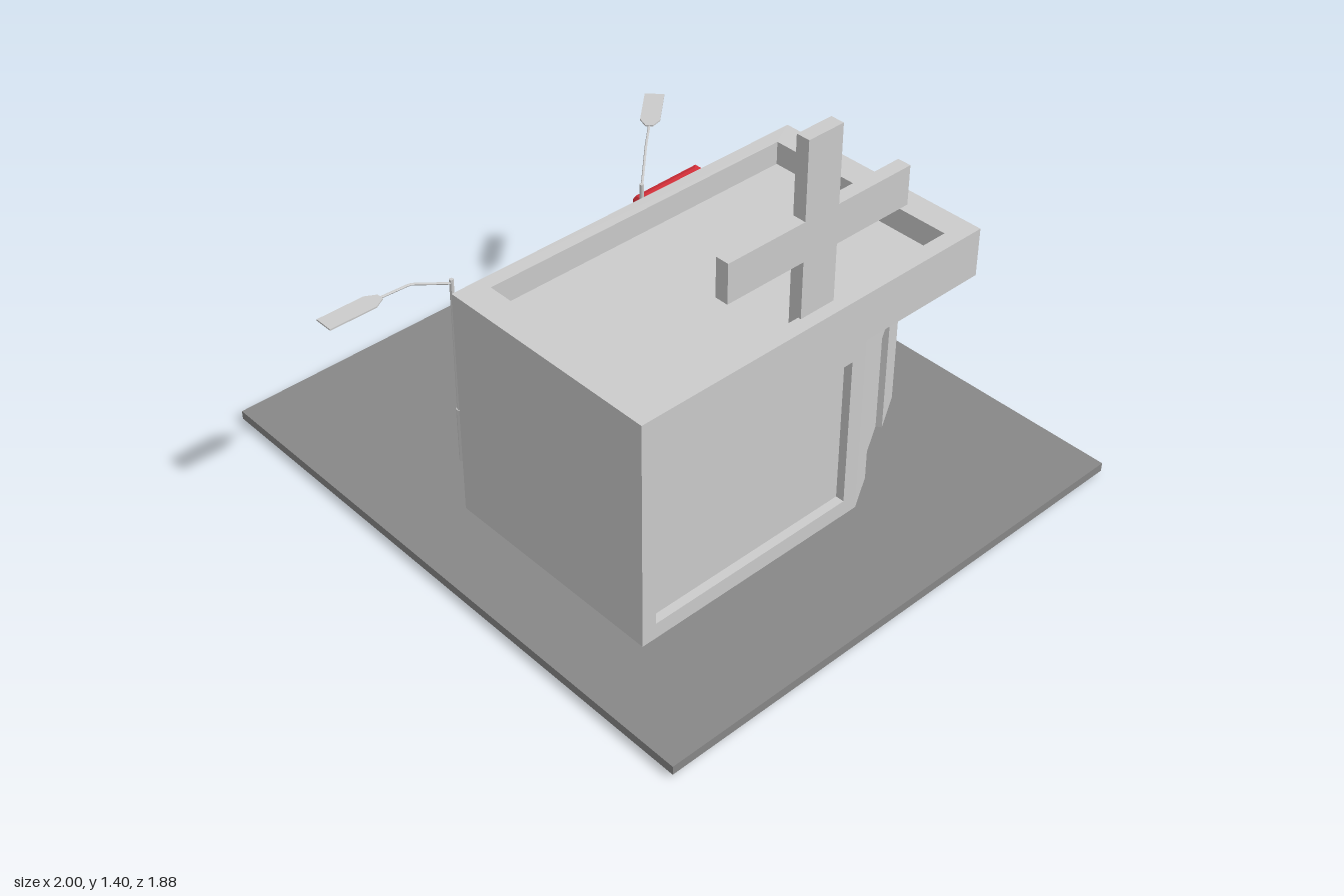
import * as THREE from 'three';

const paint = (color) => new THREE.MeshStandardMaterial({ color, flatShading: true, side: THREE.DoubleSide });
const grey = paint(0xcccccc), asphalt = paint(0x888888), green = paint(0x2a552a);
const red = paint(0xd8303a), black = paint(0x111111);

function add(parent, name, geometry, material = grey) {
  const mesh = new THREE.Mesh(geometry, material);
  mesh.name = name;
  parent.add(mesh);
  return mesh;
}

function group(parent, name, x = 0, y = 0, z = 0, turn = 0) {
  const g = new THREE.Group();
  g.name = name;
  g.position.set(x, y, z);
  g.rotation.y = turn;
  parent.add(g);
  return g;
}

// Box given by its limits on each axis
function box(parent, name, [x0, x1], [y0, y1], [z0, z1], material) {
  const mesh = add(parent, name, new THREE.BoxGeometry(x1 - x0, y1 - y0, z1 - z0), material);
  mesh.position.set((x0 + x1) / 2, (y0 + y1) / 2, (z0 + z1) / 2);
  return mesh;
}

const polygon = (points) => new THREE.Shape(points.map(([x, y]) => new THREE.Vector2(x, y)));
const rect = (x0, x1, y0, y1) => polygon([[x0, y0], [x1, y0], [x1, y1], [x0, y1]]);
const extrude = (shape, depth) => new THREE.ExtrudeGeometry(shape, { depth, bevelEnabled: false });

// Upright slab facing +z with an optional opening closed by a recessed pane
function panel(parent, name, outline, opening, thickness, recess, material, paneMaterial) {
  const shape = rect(...outline);
  if (opening) {
    shape.holes.push(rect(...opening));
    const [x0, x1, y0, y1] = opening;
    const pane = add(parent, name + 'Pane', new THREE.PlaneGeometry(x1 - x0, y1 - y0), paneMaterial);
    pane.position.set((x0 + x1) / 2, (y0 + y1) / 2, -recess);
  }
  add(parent, name, extrude(shape, thickness).translate(0, 0, -thickness), material);
}

function addShop(model) {
  const shop = group(model, 'shop');
  // Walls run round the plan, with the entrance across the cut corner
  const plan = [[-0.16, 0.625], [0.625, 0.625], [0.625, -0.235], [0.345, -0.705], [-0.16, -0.705]];
  const names = ['frontWall', 'windowWall', 'entranceWall', 'backWall', 'sideWall'];
  const openings = [null, [0.05, 0.805, 0.095, 0.615], [0.14, 0.39, 0.03, 0.48], [0.05, 0.455, 0.095, 0.615], null];
  plan.forEach(([x, z], i) => {
    const [nx, nz] = plan[(i + 1) % plan.length];
    const wall = group(shop, names[i], x, 0, z, Math.atan2(z - nz, nx - x));
    const recess = i === 2 ? 0.02 : 0.03;
    panel(wall, names[i] + 'Panel', [0, Math.hypot(nx - x, nz - z), 0.02, 0.665], openings[i], 0.035, recess, grey, grey);
  });
  // Roof slab overhangs the entrance; parapet stands on top
  box(shop, 'roofSlab', [-0.16, 0.625], [0.665, 0.75], [-0.705, 0.625]);
  const rim = rect(-0.16, 0.625, -0.625, 0.705);
  rim.holes.push(rect(-0.11, 0.57, -0.525, 0.61));
  add(shop, 'parapet', extrude(rim, 0.08).rotateX(-Math.PI / 2).translate(0, 0.75, 0));

  // Cross sign
  const [a, b, c, d, e, f] = [-0.42, -0.135, -0.005, 0.28, 1.02, 1.15];
  const cross = polygon([[b, 0.75], [c, 0.75], [c, e], [d, e], [d, f], [c, f],
    [c, 1.405], [b, 1.405], [b, f], [a, f], [a, e], [b, e]]);
  add(shop, 'crossSign', extrude(cross, 0.045).rotateY(-Math.PI / 2).translate(0.58, 0, 0));
}

function addPhoneBox(model) {
  const booth = group(model, 'phoneBox', -0.355, 0.04, -0.488, 0.02);
  booth.scale.z = 1.06;
  box(booth, 'plinth', [-0.127, 0.127], [0, 0.03], [-0.127, 0.127], red);
  for (let i = 0; i < 4; i++) {
    const side = group(booth, 'boothSide', 0, 0, 0, i * Math.PI / 2);
    const face = group(side, 'boothFace', 0, 0, 0.122);
    panel(face, 'boothFrame', [-0.122, 0.122, 0, 0.465], [-0.09, 0.09, 0.09, 0.41], 0.03, 0.018, red, black);
    // Glazing bars
    for (const x of [-0.052, 0.052]) box(face, 'glazingBar', [x - 0.003, x + 0.003], [0.09, 0.41], [-0.018, -0.01], red);
    for (let k = 1; k < 6; k++) {
      const y = 0.09 + k * 0.32 / 6;
      box(face, 'glazingBar', [-0.09, 0.09], [y - 0.003, y + 0.003], [-0.018, -0.01], red);
    }
  }
  // Square neck, cornice and shallow dome
  const profile = [[0, 0.46], [0.125, 0.46], [0.125, 0.468], [0.112, 0.47], [0.112, 0.488], [0.132, 0.49],
    [0.132, 0.515], [0.126, 0.528], [0.105, 0.537], [0.06, 0.541], [0, 0.543]];
  const roof = new THREE.LatheGeometry(profile.map(([r, y]) => new THREE.Vector2(r * Math.SQRT2, y)), 4);
  add(booth, 'boothRoof', roof.rotateY(Math.PI / 4), red);
}

function addBin(model) {
  const bin = group(model, 'wasteBin');
  const slice = (name, front, chest, top, z0, z1) => {
    const shape = polygon([[front, 0.04], [-0.16, 0.04], [-0.16, 0.34], [top, 0.34], [front, chest]]);
    add(bin, name, extrude(shape, z1 - z0).translate(0, 0, z0), green);
  };
  // End cheeks with a slightly sunken sloping lid between
  slice('binCheek', -0.458, 0.205, -0.35, -0.178, -0.165);
  slice('binCheek', -0.458, 0.205, -0.35, 0.36, 0.373);
  slice('binBody', -0.455, 0.198, -0.343, -0.165, 0.36);
}

function addLamp(model, x, z, turn) {
  const lamp = group(model, 'streetLamp', x, 0, z, turn);
  add(lamp, 'lampPole', new THREE.CylinderGeometry(0.007, 0.01, 0.72, 8).translate(0, 0.36, 0));
  add(lamp, 'lampBase', new THREE.CylinderGeometry(0.012, 0.012, 0.24, 8).translate(0, 0.12, 0));
  // Bent arm
  const path = new THREE.CurvePath();
  const bends = [[0.705, 0], [0.772, 0.145], [0.777, 0.26]].map(([y, r]) => new THREE.Vector3(0, y, r));
  for (let i = 0; i < 2; i++) path.add(new THREE.LineCurve3(bends[i], bends[i + 1]));
  add(lamp, 'lampArm', new THREE.TubeGeometry(path, 16, 0.004, 6));
  // Flat head, tapered towards the arm
  const head = polygon([[-0.012, 0.25], [0.012, 0.25], [0.032, 0.285], [0.032, 0.445], [-0.032, 0.445], [-0.032, 0.285]]);
  add(lamp, 'lampHead', extrude(head, 0.005).rotateX(Math.PI / 2).translate(0, 0.781, 0));
}

export function createModel() {
  const model = new THREE.Group();
  model.name = 'streetCorner';
  box(model, 'ground', [-1, 1], [0.01, 0.04], [-0.94, 0.86], asphalt);
  addShop(model);
  addPhoneBox(model);
  addBin(model);
  addLamp(model, -0.342, 0.49, 0);
  addLamp(model, -0.342, -0.255, 3.88);
  return model;
}
